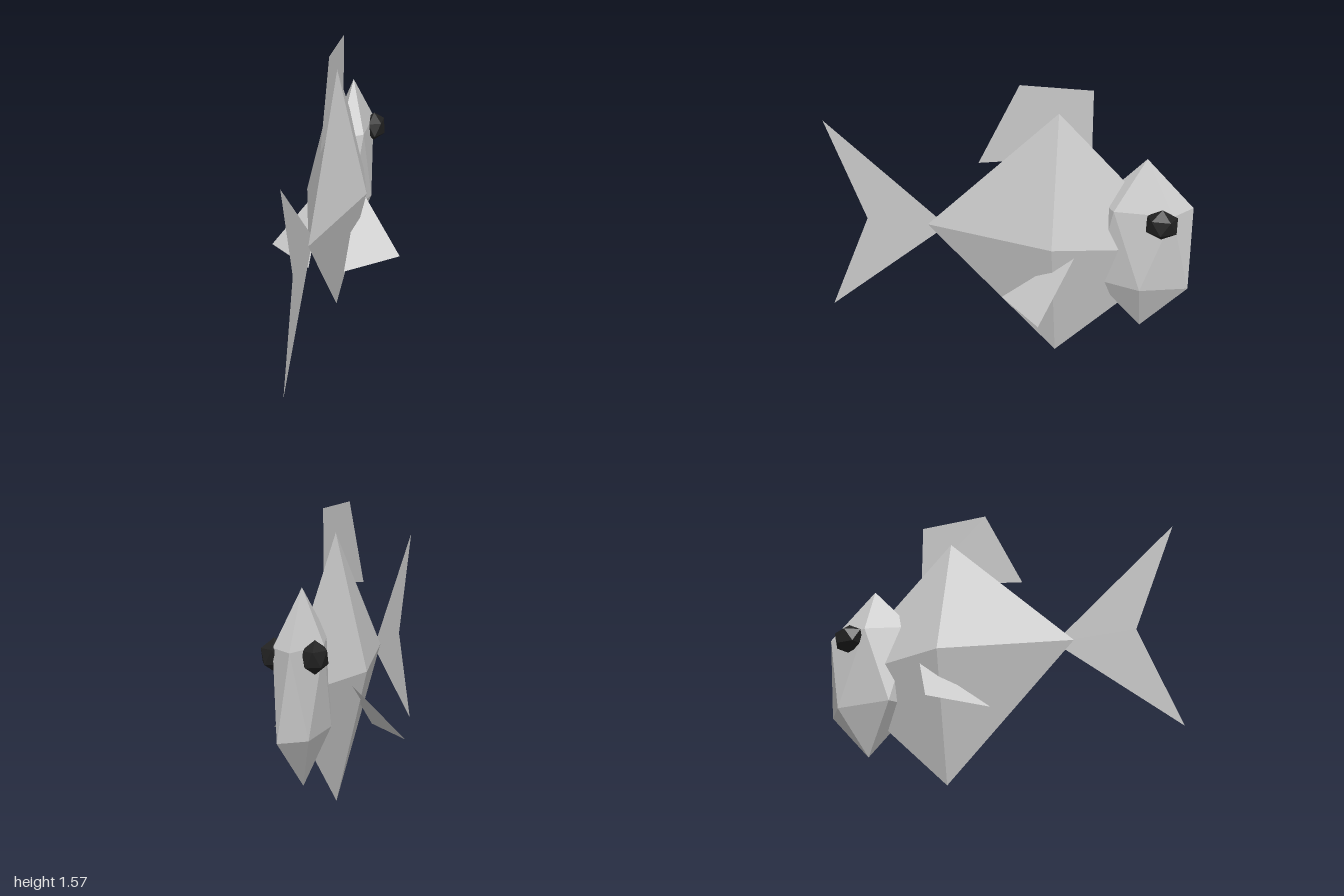
import * as THREE from 'three';

const skin = new THREE.MeshStandardMaterial({ color: 0xcccccc, flatShading: true });
const finSkin = new THREE.MeshStandardMaterial({ color: 0xcccccc, flatShading: true, side: THREE.DoubleSide });
const eyeBlack = new THREE.MeshStandardMaterial({ color: 0x222222, flatShading: true });

function part(name, geometry, material, x = 0, y = 0, z = 0) {
  const mesh = new THREE.Mesh(geometry, material);
  mesh.name = name;
  mesh.position.set(x, y, z);
  return mesh;
}

// Icosahedron standing on one corner, stretched to the given radii
function uprightIcosahedron(rx, ry, rz) {
  const tilt = Math.atan(2 / (1 + Math.sqrt(5)));
  return new THREE.IcosahedronGeometry(1, 0).rotateZ(tilt).scale(rx, ry, rz);
}

// Flat fin in the middle plane, outlined by [z, y] points
function middleFin(points) {
  const shape = new THREE.Shape(points.map(([z, y]) => new THREE.Vector2(-z, y)));
  return new THREE.ShapeGeometry(shape).rotateY(Math.PI / 2);
}

// Slanted triangular side fin; side is +1 (x > 0) or -1
function sideFin(side) {
  const corners = [[0.37, 0.365, -0.25], [0.1, 0.365, 0], [0.1, 0.704, -0.418]];
  if (side < 0) corners.reverse();
  const points = corners.map(([x, y, z]) => new THREE.Vector3(x * side, y, z));
  const geometry = new THREE.BufferGeometry().setFromPoints(points);
  geometry.computeVertexNormals();
  return geometry;
}

export function createModel() {
  const fish = new THREE.Group();
  fish.name = 'fish';

  // Diamond body and tall faceted head, facing -z
  const body = new THREE.OctahedronGeometry(1, 0).scale(0.17, 0.716, 0.716);
  fish.add(part('body', body, skin, 0, 0.718, -0.283));
  fish.add(part('head', uprightIcosahedron(0.126, 0.5, 0.294), skin, 0, 0.72, -0.75));

  // Fins along the middle plane
  fish.add(part('tailFin', middleFin([[1, 1.287], [0.775, 0.72], [1, 0.15], [0.325, 0.72]]), finSkin));
  fish.add(part('dorsalFin', middleFin([[0.145, 1.115], [-0.075, 1.575], [-0.46, 1.575], [-0.46, 1.21]]), finSkin));

  // Paired side fins and eyes
  for (const side of [1, -1]) {
    const label = side > 0 ? 'left' : 'right';
    fish.add(part(label + 'SideFin', sideFin(side), finSkin));
    fish.add(part(label + 'Eye', uprightIcosahedron(0.07, 0.085, 0.094), eyeBlack, side * 0.105, 0.9, -0.85));
  }
  return fish;
}
